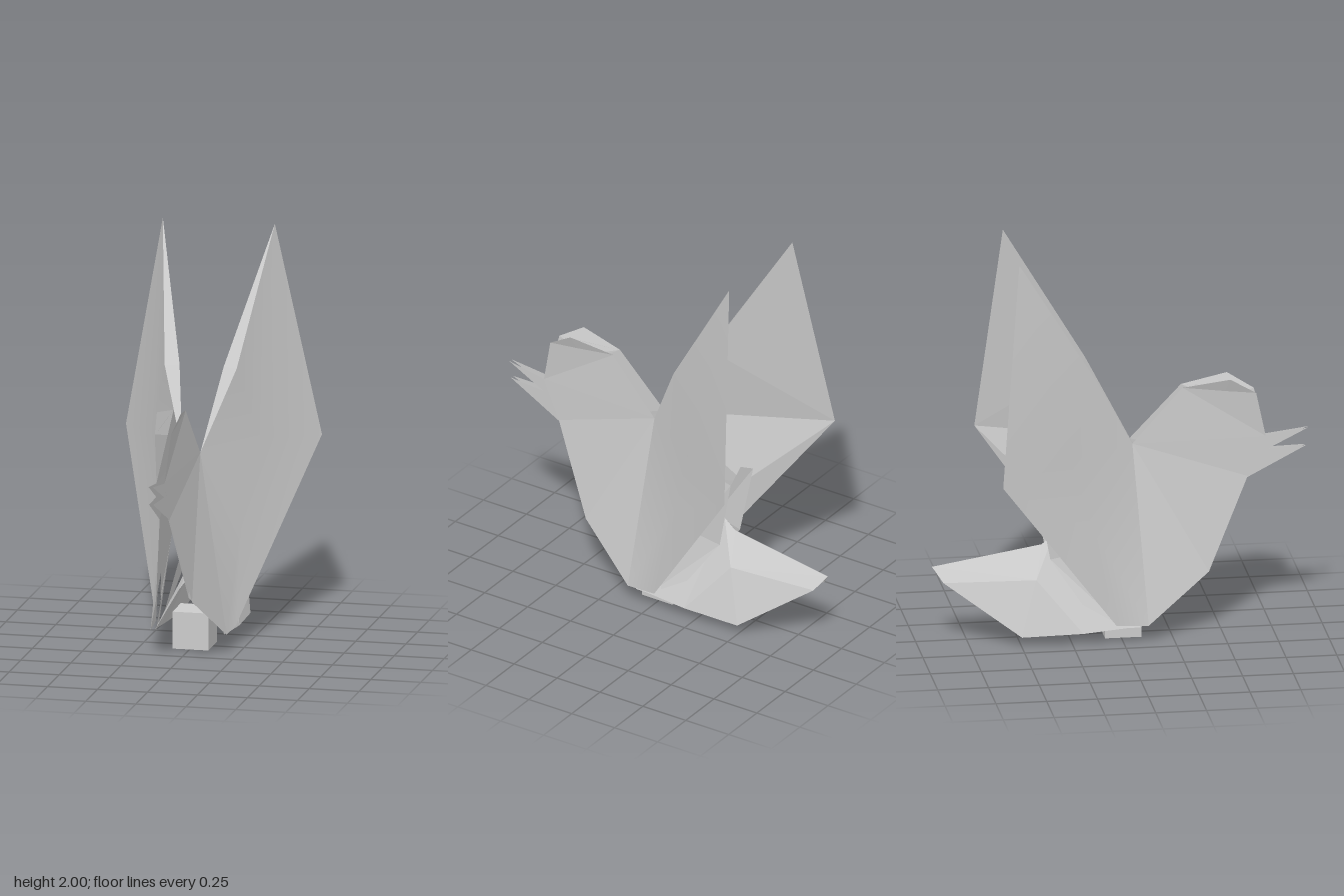
import * as THREE from 'three';

const paper = new THREE.MeshStandardMaterial({ color: 0xcccccc, side: THREE.DoubleSide });

// A folded sheet: corner points [x, y, z] and convex polygons that index them.
function sheet(name, points, faces, side, smooth = false) {
  const index = [];
  for (const f of faces) for (let i = 1; i < f.length - 1; i++) index.push(f[0], f[i], f[i + 1]);
  let geo = new THREE.BufferGeometry();
  geo.setAttribute('position', new THREE.Float32BufferAttribute(points.flatMap(([x, y, z]) => [x * side, y, z]), 3));
  geo.setIndex(index);
  if (!smooth) geo = geo.toNonIndexed();
  geo.computeVertexNormals();
  const mesh = new THREE.Mesh(geo, paper);
  mesh.name = name;
  return mesh;
}

function buildSide(side) {
  const half = new THREE.Group();
  half.name = side > 0 ? 'leftHalf' : 'rightHalf';
  const add = (name, points, faces, smooth) => half.add(sheet(name, points, faces, side, smooth));

  const root = [0.045, 0.98, 0.06], tip = [0.28, 2, -0.53], corner = [0.49, 0.93, -0.64];
  const foot = [0.19, 0.09, 0.12], heel = [0.2, 0.1, -0.04], crease = [0.27, 0.98, -0.28];

  // Outer wing sheet, softly curved around its crease
  add('wingOuter', [root, [0.18, 1.36, -0.14], tip, crease, corner, heel, foot, [0.2, 0.6, -0.16]],
    [[0, 1, 3], [1, 2, 3], [3, 2, 4], [0, 3, 7], [3, 4, 7], [7, 4, 5], [7, 5, 6], [0, 7, 6]], true);

  // Narrow leading facet and flat inner wing sheet
  add('wingInner', [root, [0.18, 1.36, -0.14], tip, [0.11, 1.36, -0.16], corner],
    [[0, 1, 3], [1, 2, 3], [0, 3, 4], [3, 2, 4]]);

  // Flap folded down behind the wing crease
  add('wingFlap', [root, corner, [0.2, 0.62, -0.3], [0.18, 0.1, -0.02], [0.17, 0.08, 0.09], [0.1, 0.6, 0.02]],
    [[0, 1, 2], [0, 2, 5], [5, 2, 3, 4]]);

  // Breast and head side panel
  const brow = [0.03, 1.25, 0.31], crown = [0.06, 1.29, 0.54];
  const forehead = [0.04, 1.21, 0.67], face = [0.02, 0.98, 0.72];
  add('bodyPanel', [foot, [0.09, 0.32, 0.43], [0.025, 0.78, 0.63], face, forehead, crown, brow, root],
    [[7, 0, 1], [7, 1, 2], [7, 2, 3], [7, 3, 6], [6, 3, 4], [6, 4, 5]]);

  // Inner layer of the breast
  add('bodyLining', [[0.17, 0.1, 0.11], [0.07, 0.34, 0.42], [0.015, 0.78, 0.62], [0.025, 0.97, 0.07]],
    [[3, 0, 1], [3, 1, 2]]);

  // Crown folded inward
  add('crownFold', [brow, crown, forehead, face, [0.015, 1.17, 0.5]],
    [[0, 1, 4], [1, 2, 4], [2, 3, 4]]);

  // Upper and lower beak
  add('upperBeak', [face, [0.022, 0.89, 0.68], [0.01, 1.01, 0.93]], [[0, 1, 2]]);
  add('lowerBeak', [[0.022, 0.91, 0.68], [0.025, 0.77, 0.62], [0.01, 0.92, 0.92]], [[0, 1, 2]]);

  // Tail, folded as a tent along its ridge
  add('tail', [[0, 0.38, -0.92], [0, 0.47, -0.38], [0, 0.52, -0.32], [0.165, 0.05, -0.5],
    [0.18, 0.06, -0.2], [0.18, 0.08, 0.02], [0.05, 0.31, -0.87], [0.1, 0.32, -0.42]],
  [[0, 1, 7], [0, 7, 6], [6, 7, 3], [1, 2, 7], [7, 4, 3], [2, 5, 4], [2, 4, 7]]);

  // Back running forward between the wings
  add('back', [[0, 0.52, -0.32], [0, 0.37, 0.05], [0.06, 0.29, 0.06], [0.18, 0.08, 0.08], [0.18, 0.08, 0.02]],
    [[0, 1, 2], [0, 2, 3], [0, 3, 4]]);

  // Upright flap between tail and wing
  add('tailFlap', [[0.1, 0.78, -0.42], [0.08, 0.78, -0.36], [0.1, 0.45, -0.2], [0.17, 0.08, 0],
    [0.15, 0.2, -0.2], [0.09, 0.42, -0.35]],
  [[0, 1, 2, 5], [5, 2, 3, 4]]);
  return half;
}

export function createModel() {
  const model = new THREE.Group();
  model.name = 'foldedBird';
  for (const side of [1, -1]) model.add(buildSide(side));

  // Small block the bird rests on
  const base = new THREE.Mesh(new THREE.BoxGeometry(0.18, 0.185, 0.18),
    new THREE.MeshStandardMaterial({ color: 0xcccccc }));
  base.name = 'base';
  base.position.set(0.005, 0.0925, 0.01);
  model.add(base);
  return model;
}
